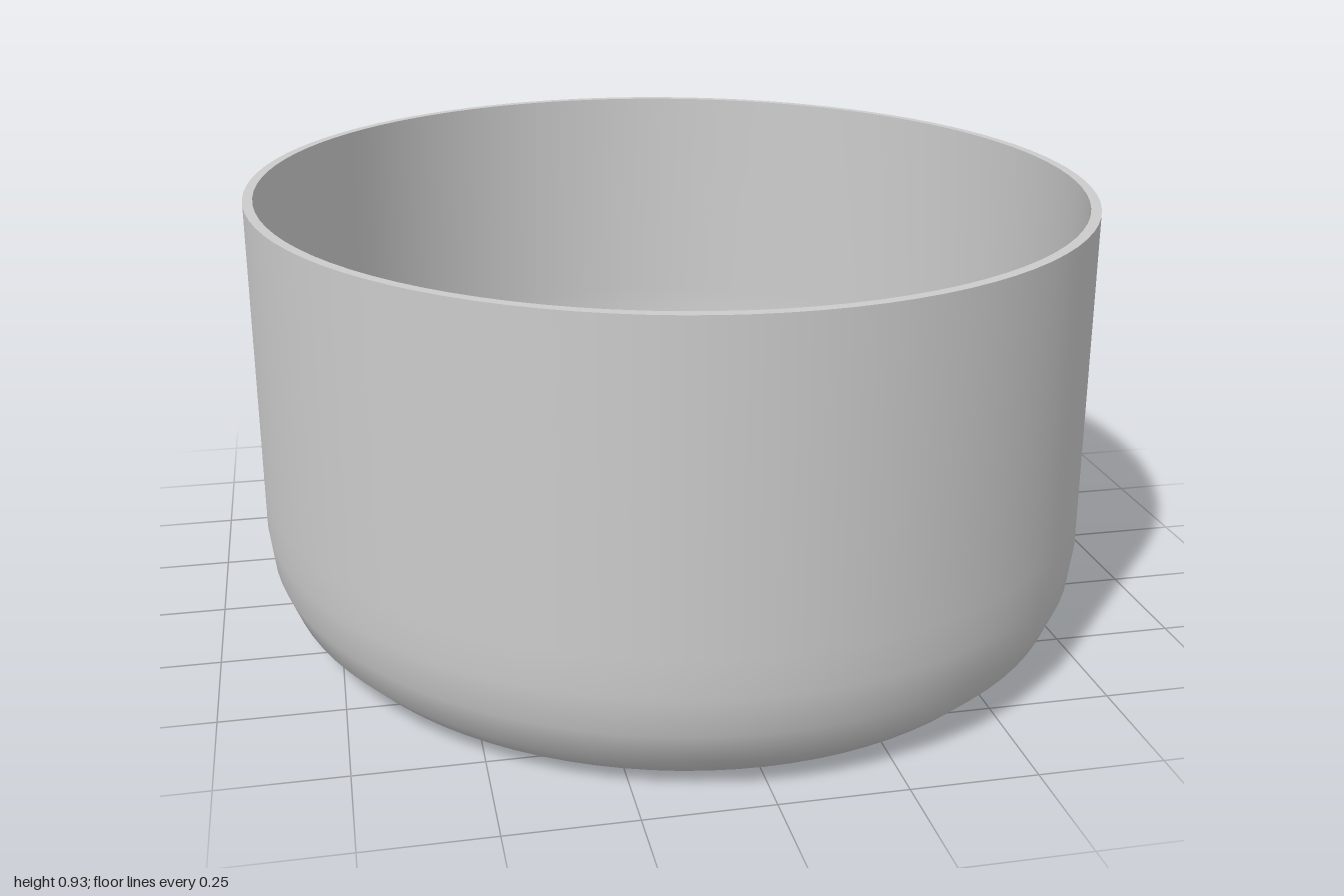
import * as THREE from 'three';

const SIDES = 96;
const WIDTH = 0.892; // oval: x radius relative to z radius

export function createModel() {
  const group = new THREE.Group();
  group.name = 'ovalBowl';
  const material = new THREE.MeshStandardMaterial({ color: 0xcccccc, side: THREE.DoubleSide });

  // Turns a [radius, height] profile and squeezes it into an oval
  const addShell = (name, profile) => {
    const points = profile.map(([r, y]) => new THREE.Vector2(r, y));
    const geometry = new THREE.LatheGeometry(points, SIDES);
    geometry.scale(WIDTH, 1, 1);
    const mesh = new THREE.Mesh(geometry, material);
    mesh.name = name;
    group.add(mesh);
  };

  // Flat base, rounded lower edge and straight outer wall
  addShell('outerWall', [
    [0, 0], [0.83, 0], [0.845, 0.003], [0.903, 0.02], [0.957, 0.07],
    [0.989, 0.14], [1, 0.22], [1, 0.3], [1, 0.926],
  ]);

  // Thin flat lip, kept separate so its edges stay sharp
  addShell('rim', [[1, 0.926], [0.977, 0.926]]);

  // Inner wall, curving in to a crease above the basin
  addShell('innerWall', [
    [0.977, 0.926], [0.975, 0.4], [0.968, 0.3], [0.957, 0.24], [0.937, 0.212],
  ]);

  // Rounded basin below the crease, ending in the floor
  addShell('basin', [
    [0.937, 0.212], [0.927, 0.145], [0.897, 0.083], [0.846, 0.038],
    [0.79, 0.022], [0.76, 0.02], [0, 0.02],
  ]);

  return group;
}
